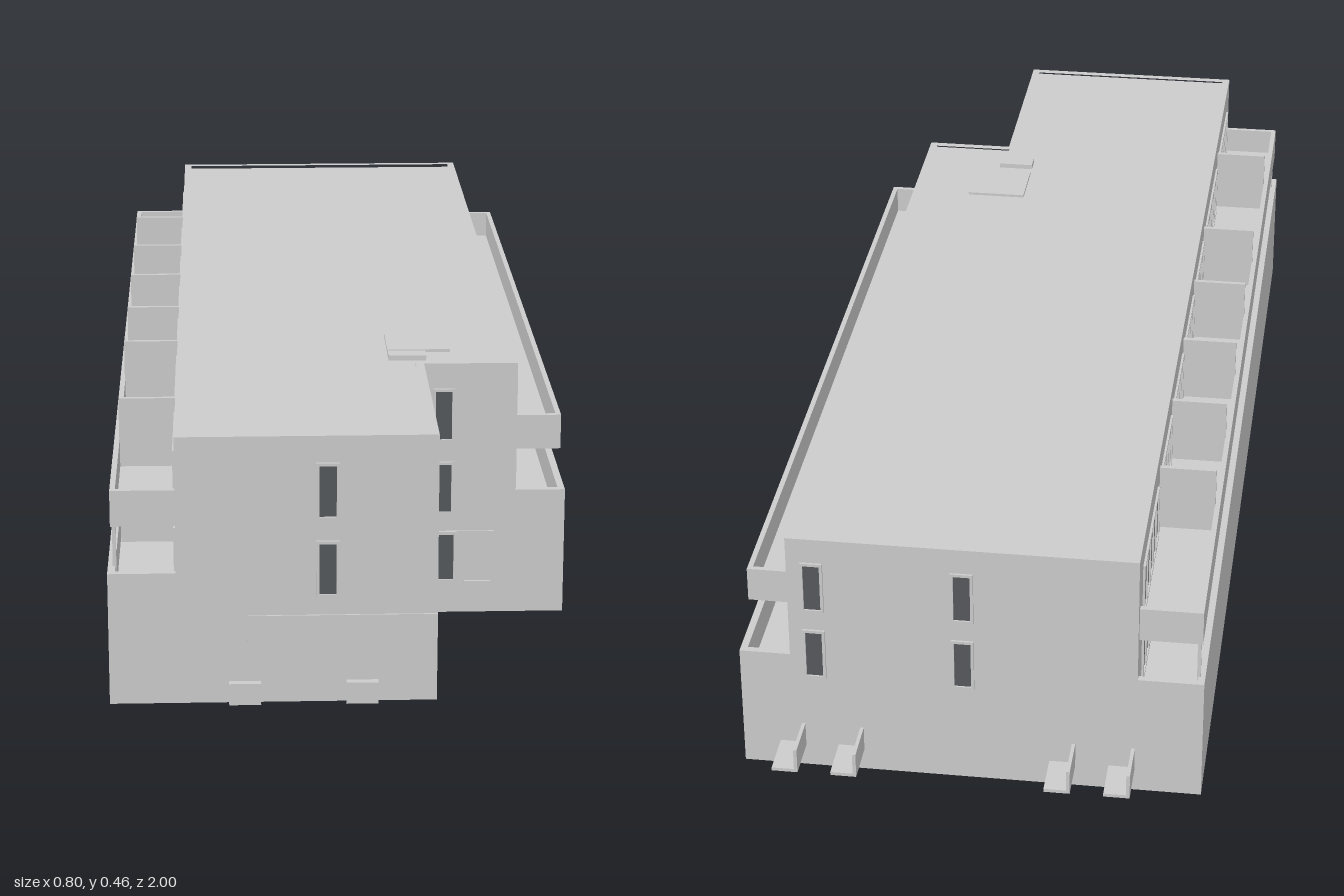
import * as THREE from 'three';

const wall = new THREE.MeshStandardMaterial({ color: 0xcccccc });
const glass = new THREE.MeshStandardMaterial({ color: 0x55585c });

// Main levels and plan lines
const TERRACE = 0.17, PARAPET = 0.225, ROOF = 0.446, TOP = 0.455;
const BACK = -0.92, FRONT = 0.985, STEP = 0.595;
const OUT = 0.39, WEST = -0.28, EAST = 0.304, WING = 0.143;

// Box given by its limits on each axis
function box(parent, name, x0, x1, y0, y1, z0, z1, mat = wall) {
  const m = new THREE.Mesh(new THREE.BoxGeometry(x1 - x0, y1 - y0, z1 - z0), mat);
  m.position.set((x0 + x1) / 2, (y0 + y1) / 2, (z0 + z1) / 2);
  m.name = name;
  parent.add(m);
  return m;
}

// L-shaped plan, inset by t, as [x, z] corners
const plan = (west, east, t = 0) => [
  [west + t, BACK + t], [east - t, BACK + t], [east - t, STEP - t],
  [WING - t, STEP - t], [WING - t, FRONT - t], [west + t, FRONT - t],
].map(([x, z]) => new THREE.Vector2(x, -z));

// Plan extruded upwards from y0 to y1
function storey(parent, name, outline, y0, y1, hole) {
  const shape = new THREE.Shape(outline);
  if (hole) shape.holes.push(new THREE.Path(hole));
  const geo = new THREE.ExtrudeGeometry(shape, { depth: y1 - y0, bevelEnabled: false });
  geo.rotateX(-Math.PI / 2);
  const m = new THREE.Mesh(geo, wall);
  m.position.y = y0;
  m.name = name;
  parent.add(m);
}

// Framed window with an optional row of panes, facing +z before turning
function makeWindow(w, h, panes = 1) {
  const g = new THREE.Group();
  g.name = 'window';
  const f = 0.005, pane = (w - f * (panes + 1)) / panes;
  const rect = (Cls, x, y, a, b) => new Cls([[x, y], [x + a, y], [x + a, y + b], [x, y + b]]
    .map(p => new THREE.Vector2(...p)));
  const shape = rect(THREE.Shape, -w / 2, 0, w, h);
  for (let i = 0; i < panes; i++) {
    const x = -w / 2 + f + i * (pane + f);
    shape.holes.push(rect(THREE.Path, x, f, pane, h - 2 * f));
  }
  const frame = new THREE.Mesh(new THREE.ExtrudeGeometry(shape, { depth: 0.004, bevelEnabled: false }), wall);
  frame.name = 'windowFrame';
  g.add(frame);
  box(g, 'windowGlass', -w / 2 + f / 2, w / 2 - f / 2, f / 2, h - f / 2, -0.002, 0.001, glass);
  return g;
}

function createModel() {
  const model = new THREE.Group();
  model.name = 'building';
  const house = new THREE.Group();
  house.name = 'apartmentBlock';
  house.rotation.y = -0.0105; // the block sits slightly askew
  model.add(house);

  const windowAt = (x, y, z, turn, w, h, panes) => {
    const g = makeWindow(w, h, panes);
    g.position.set(x, y, z);
    g.rotation.y = turn * Math.PI / 2;
    house.add(g);
  };

  // Ground floor, upper floors and roof edge
  storey(house, 'groundFloor', plan(-OUT, OUT), 0, TERRACE);
  storey(house, 'upperFloors', plan(WEST, EAST), TERRACE, ROOF);
  storey(house, 'roofEdge', plan(WEST, EAST), ROOF, TOP, plan(WEST, EAST, 0.014));
  box(house, 'roofPlate', 0.085, 0.195, ROOF, 0.451, 0.385, 0.495);
  box(house, 'roofHatch', 0.085, 0.15, ROOF, TOP, 0.515, 0.545);

  // Terrace parapets along both long sides
  const t = 0.012;
  box(house, 'terraceParapet', -OUT, -OUT + t, TERRACE, PARAPET, BACK, FRONT);
  box(house, 'terraceParapet', OUT - t, OUT, TERRACE, PARAPET, BACK, STEP);
  for (const z of [BACK, FRONT - t]) box(house, 'parapetEnd', -OUT + t, WEST, TERRACE, PARAPET, z, z + t);
  for (const z of [BACK, STEP - t]) box(house, 'parapetEnd', EAST, OUT - t, TERRACE, PARAPET, z, z + t);

  // Upper balconies: slab, front rail and returned ends
  const balcony = (inner, outer, z0, z1) => {
    const g = new THREE.Group();
    g.name = 'balcony';
    house.add(g);
    const lo = Math.min(inner, outer), hi = Math.max(inner, outer), r = 0.009;
    const rail = outer < 0 ? lo : hi - r;
    box(g, 'balconySlab', lo, hi, 0.295, 0.306, z0, z1);
    box(g, 'balconyRail', rail, rail + r, 0.306, 0.356, z0, z1);
    for (const z of [z0, z1 - r]) box(g, 'balconyEnd', lo, hi, 0.306, 0.356, z, z + r);
  };
  balcony(WEST, -0.385, -0.905, 0.955);
  balcony(EAST, 0.382, -0.87, 0.58);

  // Left side: dividers between the flats on both levels, corner posts
  const dividers = [-0.57, -0.34, -0.115, 0.115, 0.34, 0.68];
  for (const z of dividers) {
    box(house, 'lowerDivider', -0.377, WEST, TERRACE, 0.295, z - 0.004, z + 0.004);
    box(house, 'upperDivider', -0.377, WEST, 0.306, 0.426, z - 0.004, z + 0.004);
  }
  for (const z of [-0.895, 0.945])
    box(house, 'cornerPost', -0.382, -0.376, TERRACE, 0.295, z - 0.003, z + 0.003);

  // Left side: wide glazing in every bay
  const edges = [-0.9, ...dividers, 0.95];
  for (let i = 0; i < edges.length - 1; i++) {
    const len = edges[i + 1] - edges[i], mid = (edges[i] + edges[i + 1]) / 2;
    for (const y of [0.178, 0.31]) windowAt(WEST, y, mid, -1, len * 0.76, 0.1, len > 0.25 ? 5 : 4);
  }

  // Right side: doors and small windows on both levels
  for (const base of [0.175, 0.307]) {
    for (const z of [0.54, 0.32, -0.065, -0.135, -0.52, -0.735, -0.8])
      windowAt(EAST, base, z, 1, 0.042, 0.115);
    for (const z of [0.205, 0.045, -0.245, -0.415])
      windowAt(EAST, base + 0.05, z, 1, 0.052, 0.052, 2);
  }

  // End walls and wing: narrow windows on both upper levels
  for (const y of [0.182, 0.314]) {
    windowAt(-0.035, y, FRONT, 0, 0.038, 0.096);
    windowAt(0.178, y, STEP, 0, 0.038, 0.096);
    windowAt(WING, y, 0.88, 1, 0.034, 0.096);
    for (const x of [0.262, 0.012]) windowAt(x, y, BACK, 2, 0.038, 0.096);
  }

  // Entrance door and shallow wall panels
  box(house, 'entrancePanel', WING, 0.267, 0.056, 0.151, STEP, STEP + 0.003);
  windowAt(0.18, 0.058, STEP + 0.003, 0, 0.044, 0.093);
  box(house, 'entranceStep', 0.215, 0.262, 0.056, 0.06, STEP, STEP + 0.008);
  box(house, 'frontPanel', -0.165, WING, 0.051, 0.151, FRONT, FRONT + 0.003);

  // Small blocks at the foot of the front wall
  for (const x of [-0.17, 0.021]) box(house, 'frontBlock', x - 0.026, x + 0.026, 0, 0.037, FRONT, 0.998);

  // Back wall: projecting slabs, each with an upright fin
  for (const x of [-0.255, -0.155, 0.205, 0.305]) {
    box(house, 'backSlab', x - 0.022, x + 0.022, 0.04, 0.046, -0.998, BACK);
    box(house, 'backFin', x - 0.022, x - 0.016, 0.046, 0.085, -0.998, BACK);
  }
  return model;
}

export { createModel };
